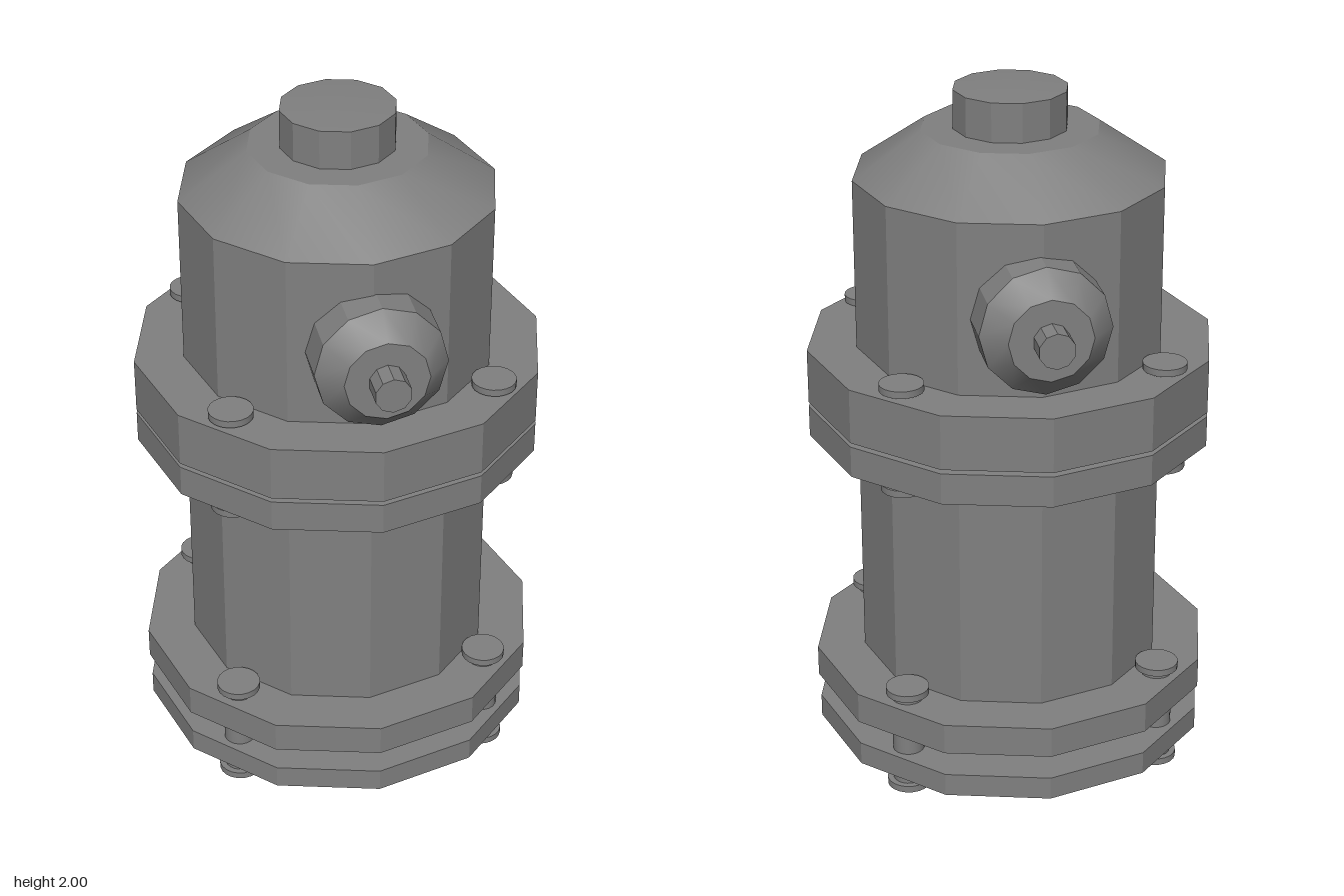
import * as THREE from 'three';
import { toCreasedNormals } from 'three/addons/utils/BufferGeometryUtils.js';

const castIron = new THREE.MeshStandardMaterial({ color: 0x808080 });
castIron.name = 'castIron';

// Faceted turned part from a bottom-to-top [radius, height] profile; shallow bends stay smooth
function turned(name, profile, sides = 12) {
  const points = profile.map(([r, y]) => new THREE.Vector2(r, y));
  const geometry = toCreasedNormals(new THREE.LatheGeometry(points, sides), 0.5);
  const mesh = new THREE.Mesh(geometry, castIron);
  mesh.name = name;
  return mesh;
}

// Closed disc or drum between two heights
const drum = (name, r, y0, y1, sides) =>
  turned(name, [[0, y0], [r, y0], [r, y1], [0, y1]], sides);

// Through bolt: shank with a thin round head at each end
function bolt(name, x, z, y0, y1) {
  const group = new THREE.Group();
  group.name = name;
  group.add(
    drum('shank', 0.045, y0 + 0.01, y1 - 0.01, 20),
    drum('lowerHead', 0.062, y0, y0 + 0.02, 20),
    drum('upperHead', 0.062, y1 - 0.02, y1, 20)
  );
  group.position.set(x, 0, z);
  return group;
}

// Side outlet: barrel, chamfered cap and operating stem, pointing along z
function outlet(name, direction) {
  const group = new THREE.Group();
  group.name = name;
  group.add(
    turned('outletCap', [[0, 0.3], [0.18, 0.3], [0.18, 0.51], [0.115, 0.577], [0, 0.577]]),
    drum('outletStem', 0.05, 0.56, 0.648, 10)
  );
  group.rotation.x = direction * Math.PI / 2;
  group.position.set(0.007, 1.48, 0);
  return group;
}

export function createModel() {
  const model = new THREE.Group();
  model.name = 'hydrant';

  // Barrel and bonnet, parted by a thin gap between the main flanges
  model.add(
    drum('barrel', 0.44, 0, 1.09),
    turned('bonnet', [[0, 1.102], [0.44, 1.102], [0.44, 1.75], [0.25, 1.88], [0, 1.88]]),
    turned('topCap', [[0, 1.87], [0.16, 1.87], [0.16, 1.99], [0, 2]])
  );

  // Flanges
  model.add(
    drum('baseFlange', 0.575, 0.075, 0.143),
    drum('lowerFlange', 0.58, 0.217, 0.308),
    drum('barrelFlange', 0.58, 1.0, 1.09),
    drum('bonnetFlange', 0.58, 1.102, 1.26)
  );

  // Four bolts through each pair of flanges
  for (const x of [-0.365, 0.365]) {
    for (const z of [-0.33, 0.33]) {
      model.add(bolt('baseBolt', x, z, 0.025, 0.345), bolt('bonnetBolt', x, z, 0.972, 1.287));
    }
  }

  // Front and back outlets
  model.add(outlet('frontOutlet', 1), outlet('backOutlet', -1));
  return model;
}
